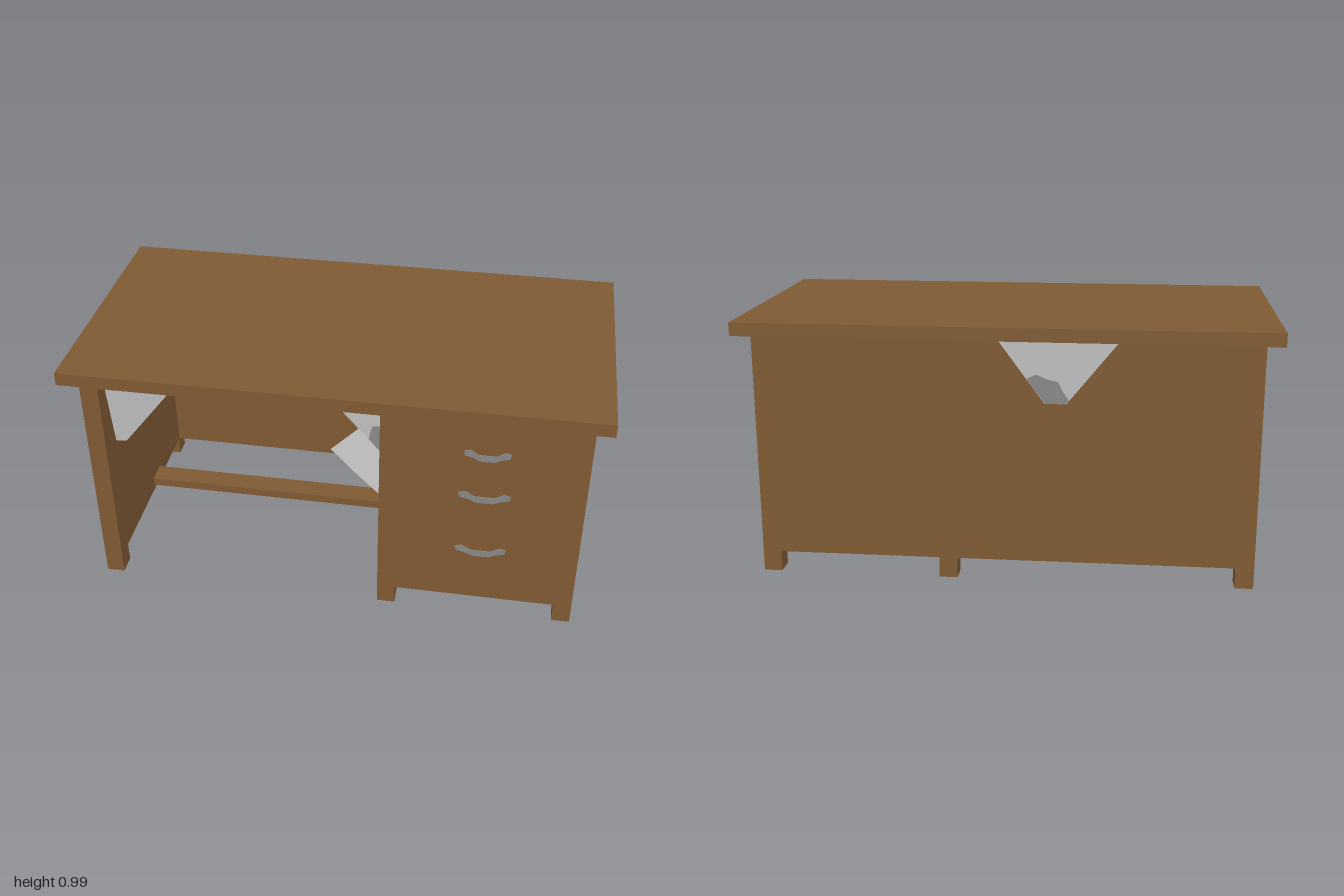
import * as THREE from 'three';

export function createModel() {
  const desk = new THREE.Group();
  desk.name = 'desk';

  const material = (name, color) => {
    const m = new THREE.MeshStandardMaterial({ color, side: THREE.DoubleSide });
    m.name = name;
    return m;
  };
  const wood = material('brown wood', 0x7f5a33);
  const webLight = material('pale cobweb', 0xc6c5c5);
  const webDark = material('grey cobweb', 0x8e8d8d);
  const metal = material('handle grey', 0x888888);

  function add(name, geometry, mat) {
    const mesh = new THREE.Mesh(geometry, mat);
    mesh.name = name;
    desk.add(mesh);
    return mesh;
  }

  // Box given by its limits; hollow ones have no underside
  function box(name, [x0, x1], [y0, y1], [z0, z1], hollow = false) {
    const g = new THREE.BoxGeometry(x1 - x0, y1 - y0, z1 - z0);
    if (hollow) {
      const index = Array.from(g.index.array);
      index.splice(18, 6);
      g.setIndex(index);
      g.clearGroups();
    }
    g.translate((x0 + x1) / 2, (y0 + y1) / 2, (z0 + z1) / 2);
    return add(name, g, wood);
  }

  // Top, panels and drawer cabinet
  box('tabletop', [-1, 1], [0.94, 0.99], [-0.51, 0.51]);
  box('sidePanel', [-0.94, -0.87], [0.08, 0.94], [-0.45, 0.45]);
  box('backPanel', [-0.87, 0.18], [0.08, 0.94], [-0.45, -0.38]);
  box('drawerCabinet', [0.18, 0.94], [0.08, 0.94], [-0.45, 0.45], true);
  box('footRail', [-0.87, 0.18], [0.1, 0.135], [-0.09, 0], true);

  // Short feet
  for (const x of [-0.94, 0.18, 0.87]) {
    for (const z of [-0.45, 0.375]) {
      box('foot', [x, x + 0.07], [0, 0.08], [z, z + 0.075], true);
    }
  }

  const shapeOf = (points) => new THREE.Shape(points.map(([x, y]) => new THREE.Vector2(x, y)));

  // Drawer handles, curved like a smile and showing on both sides of the front
  const halfHandle = [[0.03, -0.025], [0.055, -0.012], [0.085, -0.004], [0.09, 0.016], [0.065, 0.022], [0.035, 0.002]];
  const mirrored = halfHandle.map(([x, y]) => [-x, y]).reverse();
  const handleShape = shapeOf([...halfHandle, ...mirrored]);
  for (const [y, width] of [[0.765, 0.95], [0.575, 1.08], [0.315, 1.08]]) {
    const g = new THREE.ExtrudeGeometry(handleShape, { depth: 0.006, bevelEnabled: false });
    g.scale(width, 1, 1);
    g.translate(0.572, y, 0.447);
    add('drawerHandle', g, metal);
  }

  // Cobweb sheet: outline in x and y, laid on a sloping plane
  function sheet(name, points, depthAt, offset, mat) {
    const g = new THREE.ShapeGeometry(shapeOf(points));
    const p = g.attributes.position;
    for (let i = 0; i < p.count; i++) p.setZ(i, depthAt(p.getX(i), p.getY(i)) + offset);
    g.computeVertexNormals();
    add(name, g, mat);
  }
  function cobweb(name, outline, patch, depthAt) {
    sheet(name, outline, depthAt, 0, webLight);
    for (const offset of [-0.003, 0.003]) sheet(name + 'Patch', patch, depthAt, offset, webDark);
  }

  cobweb('sideCobweb',
    [[-0.87, 0.585], [-0.83, 0.585], [-0.55, 0.94], [-0.87, 0.94]],
    [[-0.7, 0.875], [-0.68, 0.86], [-0.65, 0.87], [-0.615, 0.858], [-0.551, 0.939], [-0.7, 0.939]],
    (x, y) => 0.335 - 0.2 * (x + 0.83) + 0.15 * (y - 0.585));

  cobweb('cabinetCobweb',
    [[-0.07, 0.92], [0.18, 0.69], [0.18, 0.94], [-0.07, 0.94]],
    [[0.13, 0.738], [0.179, 0.693], [0.179, 0.81], [0.145, 0.8], [0.135, 0.77]],
    (x) => 0.346 + 0.25 * x);

  cobweb('lowerCobweb',
    [[-0.17, 0.1], [0.0, 0.133], [0.21, 0.18], [0.2, 0.455]],
    [[0.125, 0.165], [0.208, 0.183], [0.205, 0.29], [0.165, 0.275], [0.15, 0.24], [0.12, 0.22], [0.115, 0.185]],
    (x, y) => -0.4 + 1.655 * (x + 0.17) - 1.645 * (y - 0.1));

  cobweb('backCobweb',
    [[-0.42, 0.94], [-0.23, 0.7], [-0.15, 0.7], [0.02, 0.94]],
    [[-0.24, 0.715], [-0.228, 0.701], [-0.152, 0.701], [-0.085, 0.795], [-0.12, 0.812], [-0.16, 0.795], [-0.2, 0.785], [-0.22, 0.745]],
    (x, y) => -0.455 - 0.09 * (y - 0.7));

  return desk;
}
